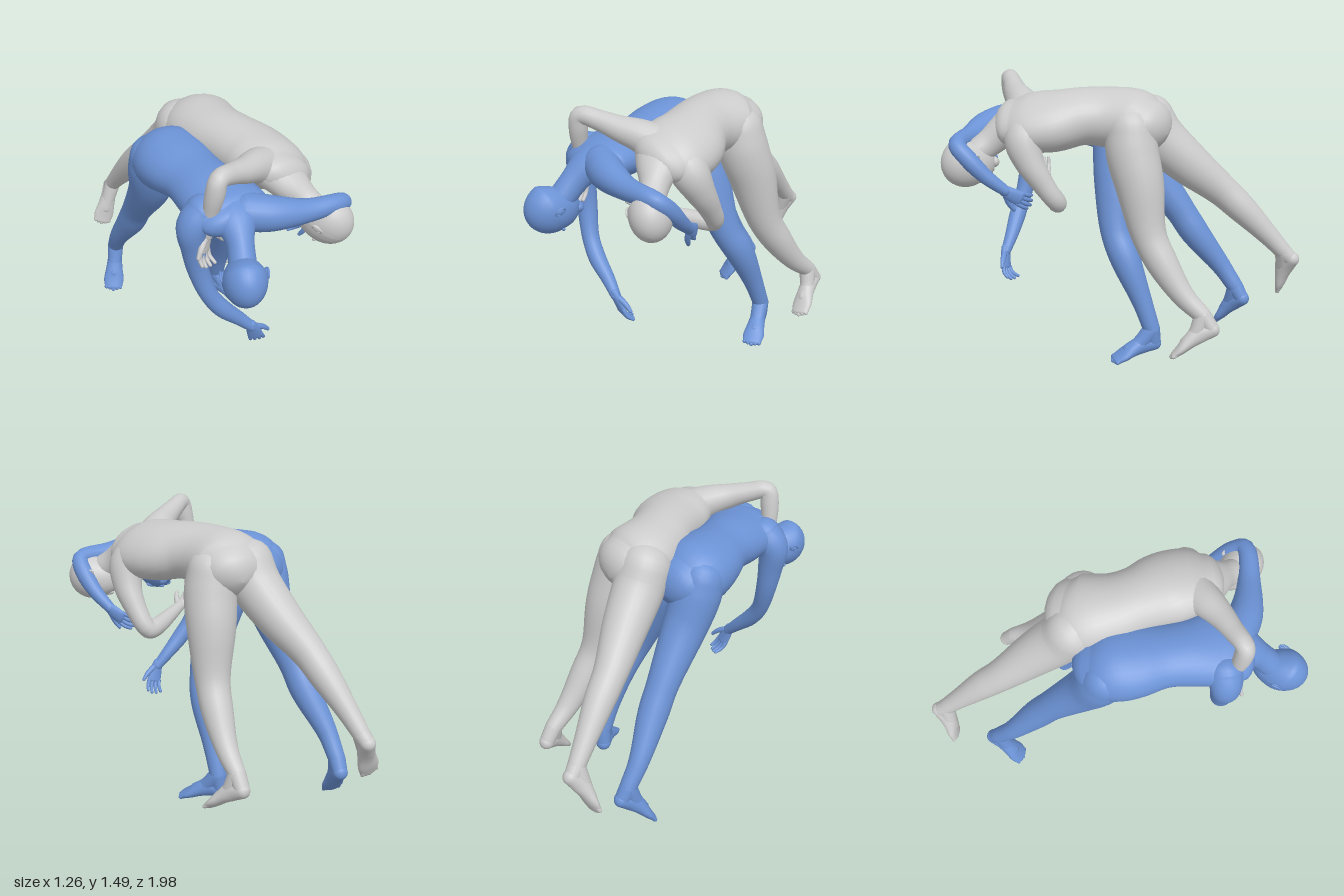
import * as THREE from 'three';

const V = (a) => new THREE.Vector3(a[0], a[1], a[2]);

// Smooth closed body through sections [x, y, z, halfWidth, halfDepth], rounded at both ends.
// sides = [start, end] directions of the width; without it the frame is carried along the path.
function loft(name, mat, sections, sides = null, segs = 20, perSection = 5) {
  const path = new THREE.CatmullRomCurve3(sections.map(V));
  const size = new THREE.CatmullRomCurve3(
    sections.map((s) => new THREE.Vector3(s[3], s[4] ?? s[3], 0)), false, 'catmullrom', 0.5);
  const n = (sections.length - 1) * perSection;
  const rings = [];
  const caps = 5;
  const dir0 = path.getTangent(0);
  let S = Math.abs(dir0.x) < 0.7 ? new THREE.Vector3(1, 0, 0) : new THREE.Vector3(0, 0, 1);
  for (let i = 0; i <= n; i++) {
    const t = i / n;
    const c = path.getPoint(t), T = path.getTangent(t), r = size.getPoint(t);
    if (sides) S = V(sides[0]).lerp(V(sides[1]), t);
    S = S.clone().addScaledVector(T, -S.dot(T)).normalize();
    const N = T.clone().cross(S);
    const ring = (k, off) => rings.push({
      c: c.clone().addScaledVector(T, off), S, N, a: r.x * k, b: r.y * k });
    const depth = Math.min(r.x, r.y) * 0.9;
    if (i === 0) for (let k = 0; k < caps; k++) {
      const q = (k / caps) * Math.PI / 2;
      ring(Math.sin(q), -depth * Math.cos(q));
    }
    ring(1, 0);
    if (i === n) for (let k = caps - 1; k >= 0; k--) {
      const q = (k / caps) * Math.PI / 2;
      ring(Math.sin(q), depth * Math.cos(q));
    }
  }
  const pos = [], idx = [];
  rings.forEach((g, i) => {
    for (let j = 0; j < segs; j++) {
      const q = (j / segs) * Math.PI * 2;
      const p = g.c.clone().addScaledVector(g.S, g.a * Math.cos(q)).addScaledVector(g.N, g.b * Math.sin(q));
      pos.push(p.x, p.y, p.z);
      if (i < rings.length - 1) {
        const a = i * segs + j, b = i * segs + (j + 1) % segs;
        idx.push(a, b, a + segs, b, b + segs, a + segs);
      }
    }
  });
  const geo = new THREE.BufferGeometry();
  geo.setAttribute('position', new THREE.Float32BufferAttribute(pos, 3));
  geo.setIndex(idx);
  geo.computeVertexNormals();
  const mesh = new THREE.Mesh(geo, mat);
  mesh.name = name;
  return mesh;
}

// Head in its own frame (y to the crown, z to the face), then turned into place
function makeHead(mat, center, up, face) {
  const g = new THREE.Group();
  g.name = 'head';
  const skull = new THREE.SphereGeometry(1, 32, 24);
  const p = skull.attributes.position;
  for (let i = 0; i < p.count; i++) {
    const x = p.getX(i), y = p.getY(i), z = p.getZ(i);
    const low = Math.max(0, -y), front = Math.max(0, z);
    p.setXYZ(i, x * 0.102 * (1 - 0.3 * low), y * 0.13, z * (0.122 - 0.035 * low * (1 - front)) + 0.038 * low);
  }
  skull.computeVertexNormals();
  const add = (name, geo, x, y, z, sx = 1, sy = 1, sz = 1) => {
    const m = new THREE.Mesh(geo, mat);
    m.name = name;
    m.position.set(x, y, z);
    m.scale.set(sx, sy, sz);
    g.add(m);
    return m;
  };
  const ball = new THREE.SphereGeometry(1, 14, 10);
  add('skull', skull, 0, 0, 0);
  add('chin', ball, 0, -0.108, 0.083, 0.035, 0.026, 0.028);
  add('upperLip', ball, 0, -0.068, 0.112, 0.024, 0.008, 0.011);
  add('lowerLip', ball, 0, -0.081, 0.108, 0.021, 0.008, 0.011);
  g.add(loft('nose', mat, [[0, 0.01, 0.112, 0.009], [0, -0.022, 0.122, 0.01], [0, -0.043, 0.127, 0.013, 0.01]],
    [[1, 0, 0], [1, 0, 0]], 12));
  for (const s of [-1, 1]) {
    add('brow', ball, s * 0.038, 0.014, 0.1, 0.032, 0.011, 0.016);
    add('ear', ball, s * 0.097, -0.017, -0.005, 0.008, 0.026, 0.016);
    const rim = add('earRim', new THREE.TorusGeometry(0.019, 0.005, 8, 18), s * 0.102, -0.014, -0.008, 0.8, 1.25, 1);
    rim.rotation.y = s * 1.25;
  }
  const z = V(face).normalize(), x = V(up).cross(z).normalize();
  g.quaternion.setFromRotationMatrix(new THREE.Matrix4().makeBasis(x, z.clone().cross(x), z));
  g.position.copy(V(center));
  g.scale.setScalar(1.1);
  return g;
}

// Hand: d points to the fingertips, t to the thumb, side is 1 for left and -1 for right
function makeHand(mat, wrist, dir, thumb, side) {
  const g = new THREE.Group();
  g.name = 'hand';
  const w = V(wrist), d = V(dir).normalize();
  const t = V(thumb).addScaledVector(d, -V(thumb).dot(d)).normalize();
  const n = d.clone().cross(t).multiplyScalar(side);
  const at = (u, v, k, ...r) => [
    ...w.clone().addScaledVector(d, u).addScaledVector(t, v).addScaledVector(n, k).toArray(), ...r];
  const ts = [t.toArray(), t.toArray()];
  g.add(loft('palm', mat, [at(-0.02, 0, 0, 0.028, 0.024), at(0.035, 0.002, 0, 0.038, 0.02),
    at(0.088, 0, 0.003, 0.041, 0.016)], ts, 16));
  [0.031, 0.011, -0.01, -0.03].forEach((v, i) => {
    const len = [0.066, 0.075, 0.07, 0.056][i], curl = 0.018 + i * 0.005;
    g.add(loft('finger', mat, [at(0.085, v, 0.003, 0.012), at(0.093 + len * 0.5, v * 1.1, curl * 0.6, 0.011),
      at(0.093 + len * 0.9, v * 1.12, curl * 1.8, 0.009)], null, 8, 3));
  });
  g.add(loft('thumb', mat, [at(0.015, 0.024, 0.005, 0.017), at(0.055, 0.055, 0.016, 0.015),
    at(0.095, 0.073, 0.022, 0.01)], null, 10, 3));
  return g;
}

// Foot from heel to toes; the ankle gives the upward side
function makeFoot(mat, ankle, heel, toe) {
  const g = new THREE.Group();
  g.name = 'foot';
  const h = V(heel), f = V(toe).sub(h), up = V(ankle).sub(h);
  up.addScaledVector(f, -up.dot(f) / f.lengthSq()).normalize();
  const s = up.clone().cross(f).normalize();
  const at = (u, v, k, ...r) => [
    ...h.clone().addScaledVector(f, u).addScaledVector(up, v).addScaledVector(s, k).toArray(), ...r];
  g.add(loft('sole', mat, [at(0, 0, 0, 0.041, 0.042), at(0.3, 0.014, 0, 0.044, 0.05), at(0.55, 0.008, 0, 0.051, 0.04),
    at(0.8, -0.006, 0, 0.06, 0.028), at(1, -0.014, 0, 0.052, 0.018)], [s.toArray(), s.toArray()]));
  for (let i = -2; i <= 2; i++) {
    const u = 1.07 - Math.abs(i) * 0.03;
    g.add(loft('toe', mat, [at(0.93, -0.013, i * 0.02, 0.014), at(u, -0.016, i * 0.021, 0.012)], null, 8, 3));
  }
  g.add(loft('heel', mat, [[...ankle, 0.046], at(0.02, 0.01, 0, 0.042)], null, 14));
  g.add(loft('instep', mat, [[...ankle, 0.047], at(0.35, 0.025, 0, 0.042), at(0.65, 0.008, 0, 0.034)], null, 14));
  return g;
}

function makeFigure(name, color, spec) {
  const mat = new THREE.MeshStandardMaterial({ color });
  const g = new THREE.Group();
  g.name = name;
  g.add(loft('torso', mat, spec.torso, spec.sides, 32), loft('neck', mat, spec.neck, spec.neckSides));
  g.add(makeHead(mat, ...spec.head));
  for (const side of ['left', 'right']) {
    const { arm, hand, leg, foot } = spec[side];
    g.add(loft(side + 'Arm', mat, arm), loft(side + 'Leg', mat, leg, null, 24));
    const wrist = arm[arm.length - 1].slice(0, 3), ankle = leg[leg.length - 1].slice(0, 3);
    g.add(makeHand(mat, wrist, ...hand, side === 'left' ? 1 : -1), makeFoot(mat, ankle, ...foot));
  }
  return g;
}

// Lower figure, bent forward with one arm hanging
const lower = {
  torso: [[-0.26, 1.2, -0.06, 0.175, 0.15], [-0.25, 1.225, 0.02, 0.205, 0.172], [-0.21, 1.24, 0.13, 0.2, 0.152],
    [-0.155, 1.24, 0.26, 0.17, 0.13], [-0.1, 1.23, 0.39, 0.182, 0.132], [-0.05, 1.225, 0.5, 0.205, 0.12],
    [-0.03, 1.225, 0.58, 0.21, 0.105], [-0.015, 1.22, 0.63, 0.17, 0.08]],
  sides: [[0.94, 0, -0.34], [0.98, 0.1, 0]],
  neck: [[-0.02, 1.23, 0.57, 0.17, 0.095], [-0.01, 1.21, 0.64, 0.115, 0.085], [0, 1.145, 0.72, 0.072, 0.075],
    [0, 1.06, 0.8, 0.07]],
  neckSides: [[1, 0.1, 0], [1, 0, 0]],
  head: [[0, 1.02, 0.86], [0, -0.47, 0.88], [0, -0.88, -0.47]],
  left: {
    arm: [[0.05, 1.225, 0.59, 0.1], [0.18, 1.215, 0.61, 0.09], [0.36, 1.2, 0.59, 0.061], [0.55, 1.195, 0.53, 0.047],
      [0.55, 1.13, 0.46, 0.048], [0.51, 1.04, 0.38, 0.04], [0.45, 0.96, 0.3, 0.029]],
    hand: [[-0.5, -0.48, -0.62], [0.3, -0.8, 0.4]],
    leg: [[-0.13, 1.24, -0.02, 0.12], [-0.11, 1.14, -0.05, 0.13], [-0.04, 0.96, -0.085, 0.117], [0.045, 0.7, -0.14, 0.086],
      [0.073, 0.56, -0.215, 0.082], [0.068, 0.34, -0.315, 0.056], [0.06, 0.18, -0.375, 0.046]],
    foot: [[0.045, 0.1, -0.385], [0.21, 0.04, -0.23]],
  },
  right: {
    arm: [[-0.15, 1.23, 0.57, 0.1], [-0.21, 1.17, 0.595, 0.085], [-0.205, 1.04, 0.59, 0.068], [-0.185, 0.9, 0.585, 0.056],
      [-0.13, 0.74, 0.595, 0.047], [-0.06, 0.64, 0.59, 0.047], [0.03, 0.55, 0.57, 0.037], [0.1, 0.48, 0.56, 0.028]],
    hand: [[0.3, -0.9, -0.2], [1, 0.3, 0]],
    leg: [[-0.34, 1.24, 0, 0.12], [-0.34, 1.15, -0.03, 0.13], [-0.345, 1.0, -0.1, 0.12], [-0.407, 0.74, -0.29, 0.086],
      [-0.44, 0.6, -0.38, 0.081], [-0.51, 0.4, -0.52, 0.055], [-0.53, 0.28, -0.605, 0.046]],
    foot: [[-0.53, 0.22, -0.65], [-0.565, 0.06, -0.475]],
  },
};

// Upper figure, leaning over the other's back
const upper = {
  torso: [[-0.06, 1.28, -0.26, 0.18, 0.145], [-0.055, 1.3, -0.19, 0.207, 0.166], [0, 1.315, -0.05, 0.187, 0.158],
    [0.075, 1.32, 0.06, 0.178, 0.15], [0.175, 1.3, 0.18, 0.21, 0.152], [0.245, 1.295, 0.29, 0.205, 0.135],
    [0.28, 1.295, 0.37, 0.165, 0.1]],
  sides: [[1, 0, -0.25], [0.84, -0.4, -0.42]],
  neck: [[0.26, 1.295, 0.34, 0.165, 0.105], [0.31, 1.25, 0.4, 0.115, 0.088], [0.37, 1.19, 0.45, 0.076, 0.076],
    [0.43, 1.14, 0.5, 0.07]],
  neckSides: [[0.84, -0.4, -0.42], [0.6, 0.3, -0.7]],
  head: [[0.48, 1.1, 0.525], [0.75, -0.5, 0.42], [-0.35, -0.85, -0.4]],
  left: {
    arm: [[0.28, 1.29, 0.25, 0.115], [0.355, 1.22, 0.245, 0.103], [0.375, 1.12, 0.2, 0.08], [0.355, 1.01, 0.135, 0.061],
      [0.3, 0.89, 0.075, 0.049], [0.24, 0.885, 0.12, 0.05], [0.13, 0.9, 0.23, 0.04], [0.03, 0.92, 0.33, 0.028]],
    hand: [[-0.75, 0.3, 0.6], [0.6, 0, 0.8]],
    leg: [[0.04, 1.28, -0.22, 0.13], [0.055, 1.16, -0.24, 0.14], [0.07, 0.99, -0.295, 0.13], [0.09, 0.73, -0.365, 0.095],
      [0.095, 0.58, -0.455, 0.084], [0.09, 0.42, -0.58, 0.06], [0.075, 0.33, -0.685, 0.046]],
    foot: [[0.065, 0.26, -0.74], [0.18, 0.13, -0.565]],
  },
  right: {
    arm: [[0.18, 1.33, 0.34, 0.105], [0.125, 1.37, 0.41, 0.086], [0.06, 1.4, 0.49, 0.068], [-0.01, 1.43, 0.56, 0.055],
      [-0.09, 1.45, 0.64, 0.048], [-0.11, 1.37, 0.645, 0.05], [-0.13, 1.25, 0.63, 0.039], [-0.145, 1.125, 0.62, 0.028]],
    hand: [[-0.2, -1, 0], [-0.7, 0, 0.7]],
    leg: [[-0.155, 1.3, -0.22, 0.138], [-0.175, 1.21, -0.27, 0.137], [-0.25, 1.06, -0.41, 0.12], [-0.355, 0.9, -0.575, 0.09],
      [-0.405, 0.795, -0.68, 0.08], [-0.47, 0.65, -0.81, 0.058], [-0.51, 0.55, -0.895, 0.046]],
    foot: [[-0.525, 0.515, -0.94], [-0.59, 0.315, -0.835]],
  },
};

export function createModel() {
  const model = new THREE.Group();
  model.name = 'leaningPair';
  model.add(makeFigure('lowerFigure', 0x6c93d6, lower), makeFigure('upperFigure', 0xcccccc, upper));
  return model;
}
